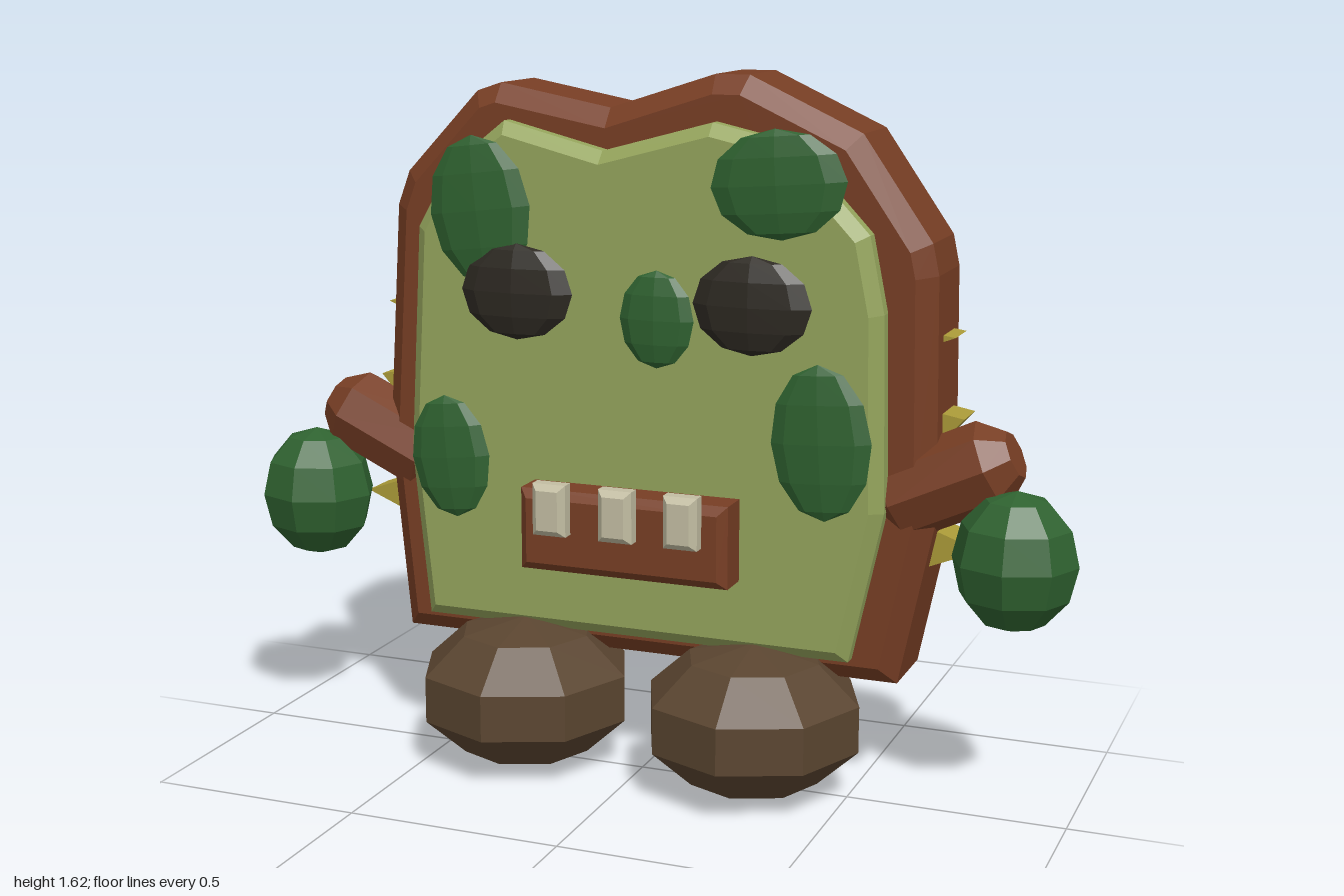
import * as THREE from 'three';

const paint = (name, color) => {
  const m = new THREE.MeshStandardMaterial({ color });
  m.name = name;
  return m;
};

export function createModel() {
  const group = new THREE.Group();
  const bark = paint('bark brown', 0x773e24);
  const sap = paint('pale green', 0x94a45c);
  const moss = paint('moss green', 0x2f6230);
  const coal = paint('eye black', 0x2d2922);
  const earth = paint('foot brown', 0x5a4530);
  const thorn = paint('thorn yellow', 0xaa9a38);
  const bone = paint('tooth ivory', 0xc2bda2);

  // Adds a mesh with faceted normals
  const add = (name, geometry, material) => {
    const flat = geometry.index ? geometry.toNonIndexed() : geometry;
    flat.computeVertexNormals();
    const mesh = new THREE.Mesh(flat, material);
    mesh.name = name;
    group.add(mesh);
    return mesh;
  };

  // Outline extruded from z0 to z1, with a one-step bevel inside the outline
  const slab = (name, points, z0, z1, bevel, material) => {
    const shape = new THREE.Shape(points.map(([x, y]) => new THREE.Vector2(x, y)));
    const geometry = new THREE.ExtrudeGeometry(shape, {
      depth: z1 - z0 - 2 * bevel, bevelEnabled: bevel > 0, bevelThickness: bevel,
      bevelSize: bevel, bevelOffset: -bevel, bevelSegments: 1,
    });
    geometry.translate(0, 0, z0 + bevel);
    return add(name, geometry, material);
  };
  const rect = (x, y, w, h) => [
    [x - w / 2, y - h / 2], [x + w / 2, y - h / 2], [x + w / 2, y + h / 2], [x - w / 2, y + h / 2],
  ];

  // Faceted ellipsoid
  const blob = (name, pos, radii, rows, material, tilt = 0) => {
    const mesh = add(name, new THREE.SphereGeometry(1, 8, rows), material);
    mesh.scale.set(...radii);
    mesh.position.set(...pos);
    mesh.rotation.z = tilt;
    return mesh;
  };

  // Body and face panel
  slab('body', [
    [-0.63, 0.27], [0.595, 0.27], [0.675, 0.66], [0.665, 1.2], [0.65, 1.27], [0.49, 1.5],
    [0.23, 1.62], [0.15, 1.62], [-0.1, 1.54], [-0.37, 1.59], [-0.43, 1.57], [-0.61, 1.38],
    [-0.64, 1.3], [-0.675, 0.74],
  ], -0.28, -0.015, 0.042, bark);
  slab('facePanel', [
    [-0.54, 0.33], [0.5, 0.33], [0.575, 0.68], [0.565, 1.12], [0.53, 1.29], [0.35, 1.48],
    [0.17, 1.52], [-0.09, 1.45], [-0.33, 1.51], [-0.47, 1.4], [-0.55, 1.26], [-0.58, 0.72],
  ], -0.06, 0.043, 0.028, sap);

  // Moss patches: x, y, half width, half height, tilt
  [
    [-0.375, 1.31, 0.125, 0.17, 0.12],
    [0.335, 1.395, 0.155, 0.12, 0.08],
    [0.055, 1.085, 0.088, 0.11, 0],
    [0.44, 0.835, 0.115, 0.175, 0.06],
    [-0.46, 0.73, 0.1, 0.145, 0.1],
  ].forEach(([x, y, w, h, tilt]) => blob('mossPatch', [x, y, 0.055], [w, h, 0.022], 6, moss, tilt));

  // Mouth and teeth
  slab('mouth', rect(0, 0.595, 0.5, 0.19), 0, 0.14, 0.02, bark);
  for (const x of [-0.16, 0, 0.155]) slab('tooth', rect(x, 0.655, 0.08, 0.12), 0.125, 0.182, 0.014, bone);

  // Thorns, as corners of a wedge on the left side
  const thorns = [
    [[0.63, 1.035], [0.695, 1.06], [0.63, 1.07]],
    [[0.64, 0.79], [0.72, 0.88], [0.64, 0.895]],
    [[0.63, 0.53], [0.765, 0.585], [0.64, 0.63]],
  ];

  for (const side of [1, -1]) {
    const label = side > 0 ? 'left' : 'right';
    blob(label + 'Eye', [side * 0.281, 1.13, 0.065], [0.137, 0.11, 0.032], 6, coal);
    blob(label + 'Foot', [side * 0.283, 0.18, 0.03], [0.263, 0.175, 0.266], 5, earth);
    blob(label + 'Hand', [side * 0.86, 0.593, -0.02], [0.14, 0.158, 0.13], 6, moss);

    // Stubby arm with a chamfered end
    const profile = [[0, -0.06], [0.055, -0.06], [0.1, 0], [0.1, 0.23], [0.055, 0.285], [0, 0.285]];
    const arm = add(label + 'Arm',
      new THREE.LatheGeometry(profile.map(([r, y]) => new THREE.Vector2(r, y)), 8), bark);
    arm.position.set(side * 0.58, 0.695, -0.09);
    arm.rotation.z = side * -1.14;

    for (const corners of thorns) {
      slab(label + 'Thorn', corners.map(([x, y]) => [side * x, y]), -0.2, -0.1, 0, thorn);
    }
  }
  return group;
}
